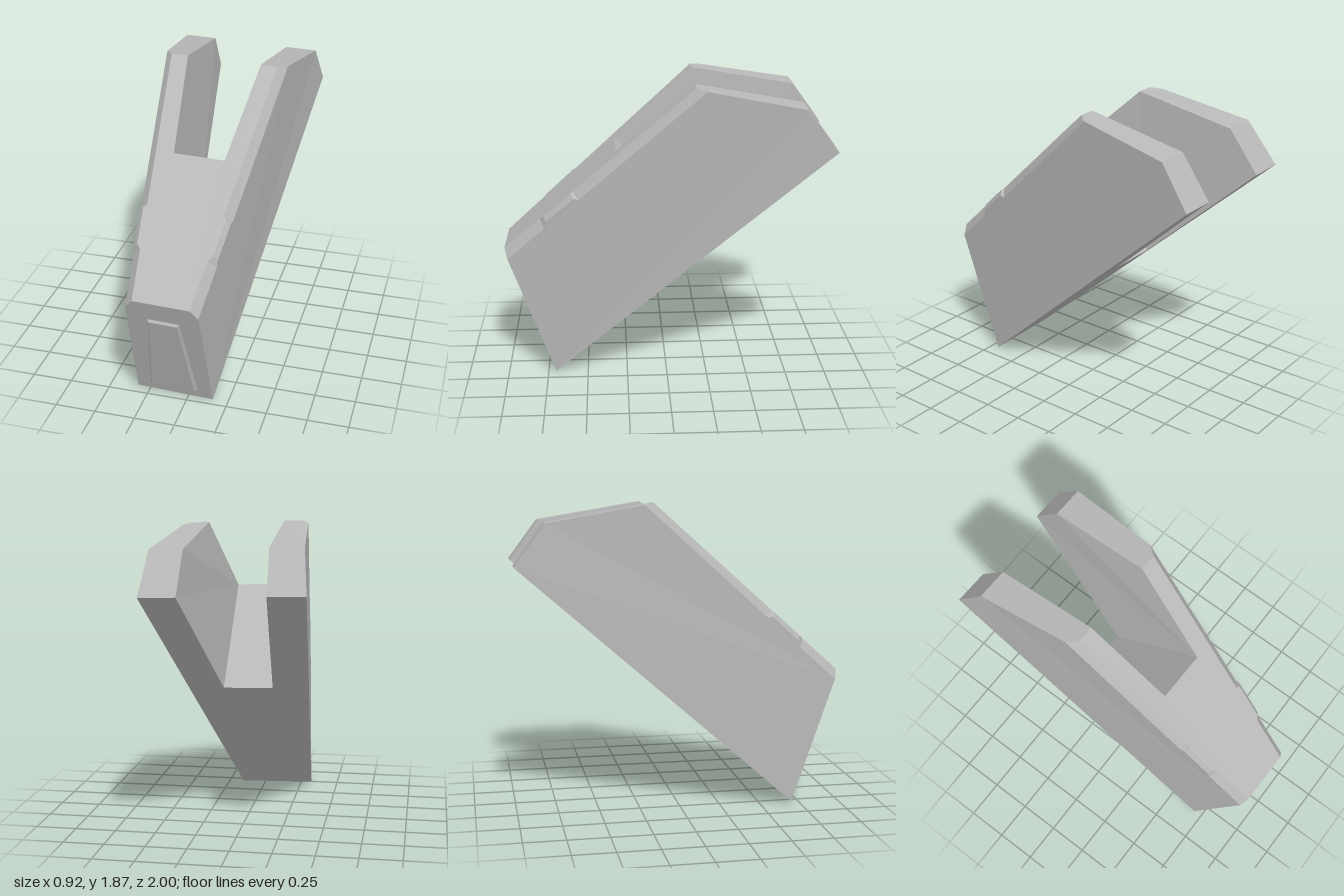
import * as THREE from 'three';

// Profile points: [half width, y, z]
const A = [0.24, 0.005, 0.7], B = [0.17, 0.823, 1.0], Bs = [0.217, 0.765, 0.98];
const C = [0.332, 1.865, -0.17], Cs = [0.38, 1.853, -0.23];
const D = [0.434, 1.755, -0.81], E = [0.462, 1.508, -0.992];
const Ci = [0.228, C[1], C[2]], Di = [0.24, D[1], D[2]], Ei = [0.2475, E[1], E[2]];
const NT = [0.155, 1.435, 0.31], NB = [0.15, 0.872, -0.285];
const mid = (p) => [0, p[1], p[2]];
const mix = (p, q, t) => p.map((v, i) => v + (q[i] - v) * t);

// The whole body leans slightly off the centre line
function lean([x, y, z]) {
  const cx = x - 0.07 - 0.0216 * z + 0.0306 * y;
  return [cx, y - 0.028 * cx, z + 0.012 * cx];
}

// Flat convex polygons, each fanned into triangles, on one or both sides
function facetMesh(name, polygons, material, sides = [1, -1]) {
  const pos = [];
  for (const s of sides) {
    for (const poly of polygons) {
      const pts = poly.map(([x, y, z]) => lean([x * s, y, z]));
      if (s < 0) pts.reverse();
      for (let i = 1; i < pts.length - 1; i++) pos.push(...pts[0], ...pts[i], ...pts[i + 1]);
    }
  }
  const geo = new THREE.BufferGeometry();
  geo.setAttribute('position', new THREE.Float32BufferAttribute(pos, 3));
  geo.computeVertexNormals();
  const mesh = new THREE.Mesh(geo, material);
  mesh.name = name;
  return mesh;
}

export function createModel() {
  const group = new THREE.Group();
  group.name = 'forkedBlock';
  const grey = new THREE.MeshStandardMaterial({ color: 0xb8b8b8 });
  grey.name = 'grey';

  // Forked body, one half mirrored
  group.add(facetMesh('body', [
    [mid(A), mid(NB), NB, A], [A, NB, Ei, E],   // underside
    [mid(B), B, NT, mid(NT)], [B, C, Ci, NT],   // upper face
    [mid(A), A, Bs, B, mid(B)],                 // front end
    [A, E, D, Cs, Bs],                          // outer side
    [Bs, Cs, C, B],                             // chamfer
    [C, Cs, D, Di, Ci], [D, E, Ei, Di],         // prong tip
    [NT, Ci, Di, Ei, NB],                       // prong inner wall
    [mid(NT), NT, NB, mid(NB)],                 // slot end
  ], grey));

  // Raised pads that fill part of each chamfer
  const corner = (t) => {
    const p = mix(B, C, t), q = mix(Bs, Cs, t);
    return [q[0], p[1], p[2]];
  };
  const top = (t) => mix(B, C, t), side = (t) => mix(Bs, Cs, t);
  const [t0, t1, r0, r1] = [0.195, 0.37, 0.215, 0.36];
  const raisedTop = (t) => mix(top(t), corner(t), 0.45);
  const raisedSide = (t) => mix(side(t), corner(t), 0.45);
  group.add(facetMesh('chamferPads', [
    [raisedSide(r0), raisedSide(r1), raisedTop(r1), raisedTop(r0)],
    [side(t0), raisedSide(r0), raisedTop(r0), top(t0)],
    [side(t1), top(t1), raisedTop(r1), raisedSide(r1)],
    [top(t0), raisedTop(r0), raisedTop(r1), top(t1)],
    [side(t0), side(t1), raisedSide(r1), raisedSide(r0)],
  ], grey));

  // Tapered bevelled panel on the front end
  const onFront = (x, y, out) => {
    const p = mix(A, B, (y - A[1]) / (B[1] - A[1]));
    return [x, y - 0.34 * out, p[2] + 0.94 * out];
  };
  const ring = (wb, yb, wt, yt, ob, ot) => [
    onFront(-wb, yb, ob), onFront(wb, yb, ob), onFront(wt, yt, ot), onFront(-wt, yt, ot)];
  const base = ring(0.15, 0.068, 0.095, 0.684, 0, 0);
  const face = ring(0.134, 0.088, 0.086, 0.673, 0.022, 0.014);
  const panel = [face];
  for (let i = 0; i < 4; i++) {
    const j = (i + 1) % 4;
    panel.push([base[i], base[j], face[j], face[i]]);
  }
  group.add(facetMesh('frontPanel', panel, grey, [1]));
  return group;
}
